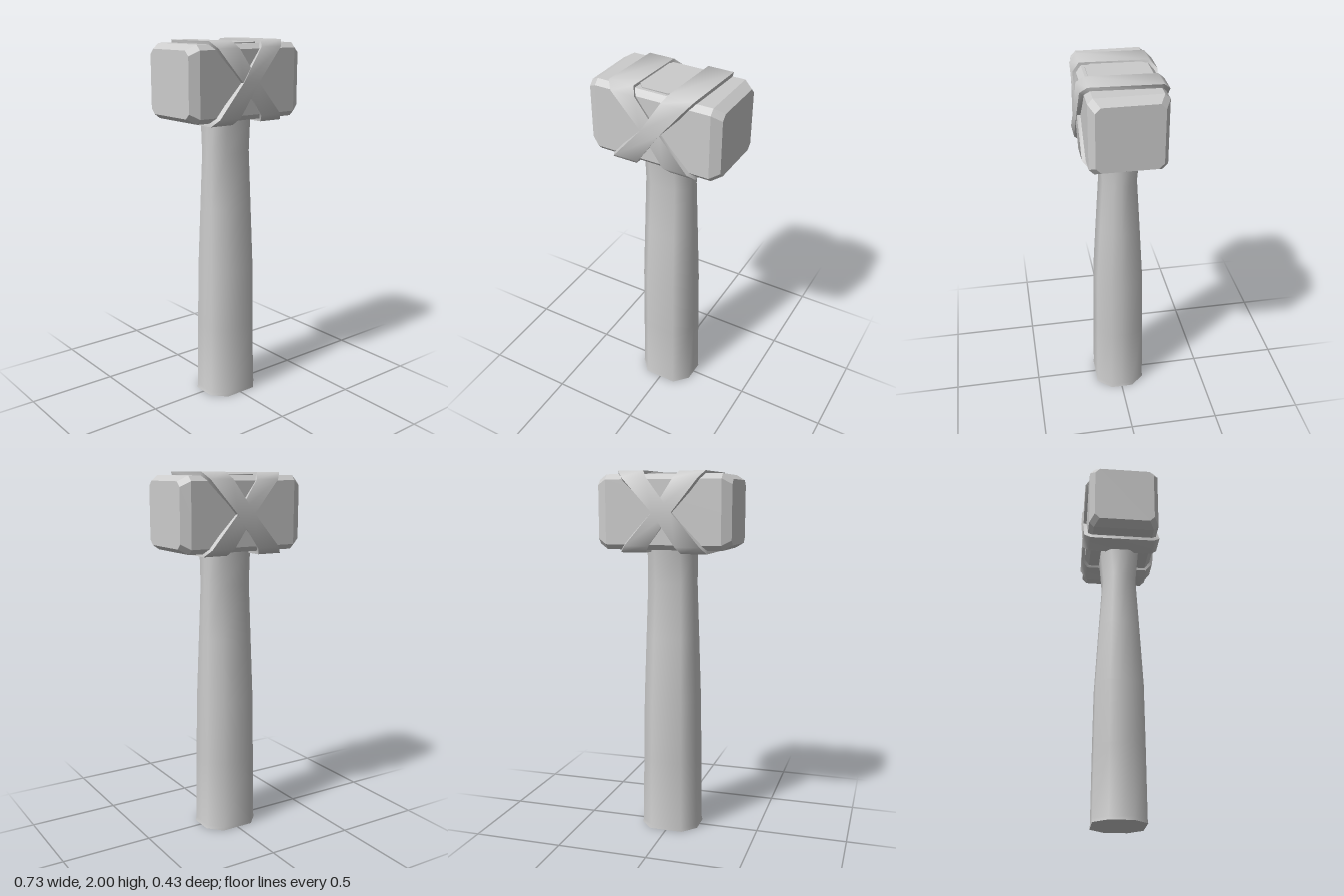
import * as THREE from 'three';
import { toCreasedNormals } from 'three/addons/utils/BufferGeometryUtils.js';

const HEAD_Y = 1.786;

// Rectangle of half sizes a, b with corners cut by ca, cb; runs counter-clockwise, 10 points
function cutRect(a, b, ca, cb) {
  const f = a - ca, g = b - cb;
  return [[a, -g], [a, g], [f, b], [0, b], [-f, b], [-a, g], [-a, -g], [-f, -b], [0, -b], [f, -b]];
}

// Skin a list of equal-length rings; either capped at both ends or closed into a loop
function loft(rings, closed, crease) {
  const n = rings[0].length, index = [];
  const count = closed ? rings.length : rings.length - 1;
  for (let i = 0; i < count; i++) {
    const a = i * n, b = ((i + 1) % rings.length) * n;
    for (let j = 0; j < n; j++) {
      const k = (j + 1) % n;
      index.push(a + j, a + k, b + k, a + j, b + k, b + j);
    }
  }
  if (!closed) {
    const e = (rings.length - 1) * n;
    for (let j = 1; j < n - 1; j++) index.push(0, j + 1, j, e, e + j, e + j + 1);
  }
  const g = new THREE.BufferGeometry();
  g.setAttribute('position', new THREE.Float32BufferAttribute(rings.flat(2), 3));
  g.setIndex(index);
  return toCreasedNormals(g, crease);
}

// Strap looped diagonally round the head, narrower where it crosses the other one
function strapGeometry(dir, lift) {
  const outer = cutRect(0.211 + lift, 0.214 + lift, 0.036, 0.036);
  const inner = cutRect(0.185, 0.187, 0.03, 0.03);
  const rings = outer.map(([y, z], i) => {
    const t = y / 0.2125;
    const x = dir * 0.167 * t - 0.05 * z * Math.max(0, t);
    const w = 0.053 + 0.017 * Math.abs(t);
    const [iy, iz] = inner[i];
    return [
      [x - w, HEAD_Y + iy, iz], [x + w, HEAD_Y + iy, iz],
      [x + w, HEAD_Y + y, z], [x - w, HEAD_Y + y, z],
    ];
  });
  return loft(rings, true, 0.9);
}

export function createModel() {
  const group = new THREE.Group();
  const material = new THREE.MeshStandardMaterial({ color: 0xcccccc });
  const add = (name, geometry) => {
    const mesh = new THREE.Mesh(geometry, material);
    mesh.name = name;
    group.add(mesh);
  };

  // Handle: eight-sided, waisted under the head, its flared tip just showing on top
  const handle = [ // y, half width, half depth, cut in x, cut in z
    [0, 0.163, 0.141, 0.07, 0.077],
    [0.02, 0.158, 0.139, 0.07, 0.075],
    [0.4, 0.154, 0.135, 0.068, 0.073],
    [0.75, 0.149, 0.13, 0.066, 0.07],
    [1.1, 0.139, 0.11, 0.062, 0.06],
    [1.4, 0.13, 0.092, 0.058, 0.05],
    [1.57, 0.128, 0.107, 0.056, 0.053],
    [1.988, 0.128, 0.154, 0.056, 0.06],
  ];
  add('handle', loft(handle.map(([y, hx, hz, cx, cz]) =>
    cutRect(hz, hx, cz, cx).map(([z, x]) => [x, y, z])), false, 0.9));

  // Head: block with bevelled edges and ends
  const head = [[-0.365, 0.168], [-0.315, 0.196], [0.315, 0.196], [0.365, 0.168]];
  add('head', loft(head.map(([x, h]) =>
    cutRect(h, h, 0.027, 0.027).map(([y, z]) => [x, HEAD_Y + y, z])), false, 0.2));

  // Crossed straps
  add('rightStrap', strapGeometry(-1, 0));
  add('leftStrap', strapGeometry(1, 0.003));

  return group;
}
